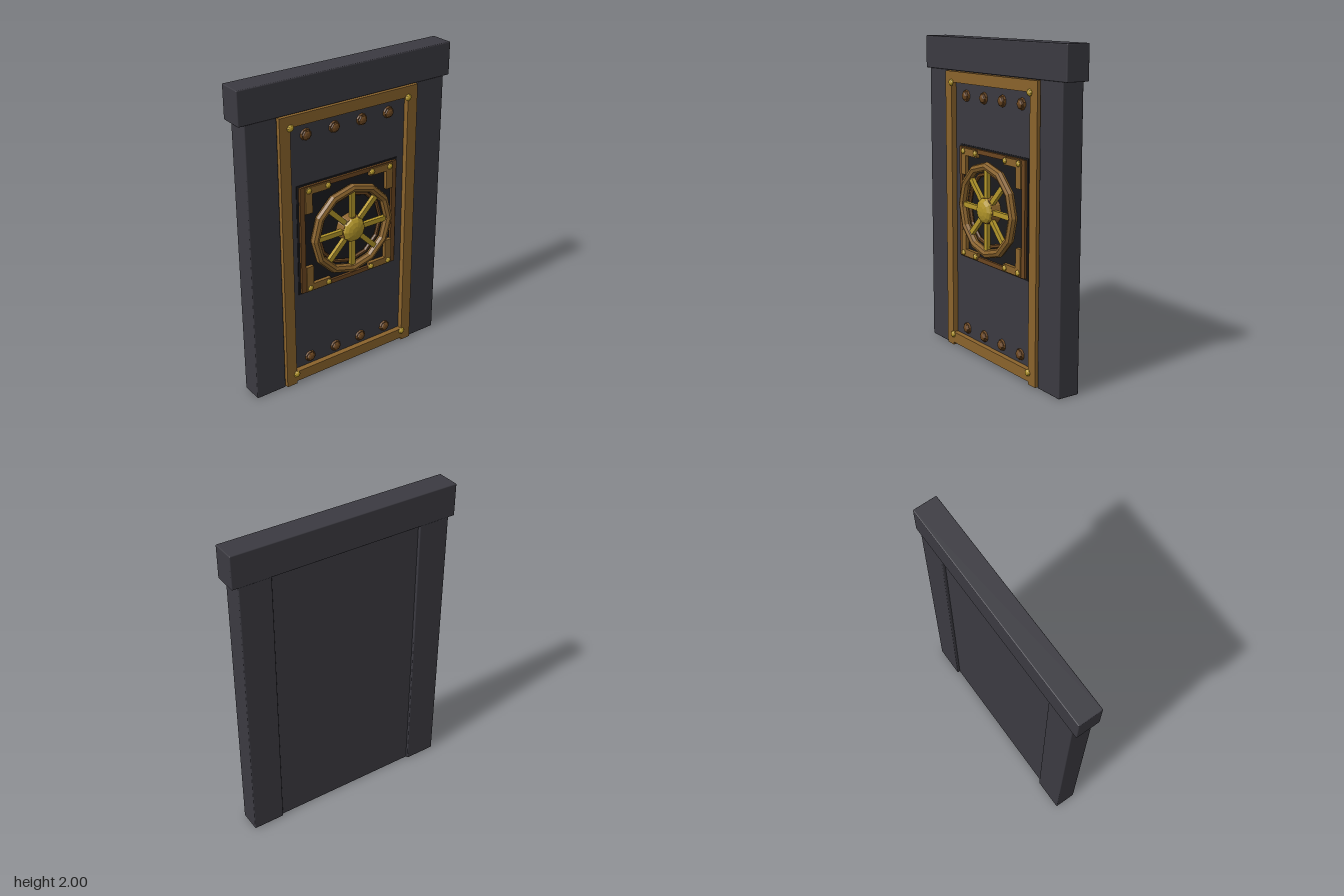
import * as THREE from 'three';
import { RoundedBoxGeometry } from 'three/addons/geometries/RoundedBoxGeometry.js';

const material = (color, flatShading = true) => new THREE.MeshStandardMaterial({ color, flatShading });
const iron = material(0x3b3a41, false);
const black = material(0x1b1b1e);
const bronze = material(0x8a632c);
const darkBronze = material(0x6b4620);
const brass = material(0xb3962a);

function add(parent, name, geometry, mat, x = 0, y = 0, z = 0) {
  const mesh = new THREE.Mesh(geometry, mat);
  mesh.name = name;
  mesh.position.set(x, y, z);
  parent.add(mesh);
  return mesh;
}

// Box given by its limits on each axis
function block(parent, name, mat, [x0, x1], [y0, y1], [z0, z1], bevel = 0) {
  const size = [x1 - x0, y1 - y0, z1 - z0];
  const geometry = bevel ? new RoundedBoxGeometry(...size, 2, bevel) : new THREE.BoxGeometry(...size);
  return add(parent, name, geometry, mat, (x0 + x1) / 2, (y0 + y1) / 2, (z0 + z1) / 2);
}

// Flattened hemisphere bulging towards +z
function dome(radius, height, sides, rings) {
  return new THREE.SphereGeometry(radius, sides, rings, 0, Math.PI * 2, 0, Math.PI / 2)
    .rotateX(Math.PI / 2).scale(1, 1, height / radius);
}

function buildWheel() {
  const wheel = new THREE.Group();
  wheel.name = 'wheel';
  add(wheel, 'wheelRim', new THREE.TorusGeometry(0.27, 0.028, 8, 12), bronze, 0, 0, 0.06);
  add(wheel, 'innerRing', new THREE.TorusGeometry(0.228, 0.013, 6, 12), darkBronze, 0, 0, 0.038);
  for (let i = 0; i < 8; i++) {
    const spoke = new THREE.BoxGeometry(0.2, 0.032, 0.024).translate(0.147, 0, 0.06);
    add(wheel, 'spoke', spoke, brass).rotation.z = i * Math.PI / 4;
  }
  add(wheel, 'hubCollar', new THREE.CylinderGeometry(0.08, 0.09, 0.06, 12).rotateX(Math.PI / 2), bronze, 0, 0, 0.048);
  add(wheel, 'hubCap', dome(0.08, 0.034, 10, 4), brass, 0, 0, 0.076);
  return wheel;
}

export function createModel() {
  const model = new THREE.Group();
  model.name = 'vaultDoor';

  // Stone surround and recessed door leaf
  block(model, 'lintel', iron, [-0.735, 0.735], [1.795, 2], [-0.11, 0.042], 0.006);
  for (const s of [-1, 1]) {
    block(model, 'pillar', iron, [s * 0.593 - 0.102, s * 0.593 + 0.102], [0, 1.797], [-0.105, 0.036], 0.006);
  }
  block(model, 'doorPanel', iron, [-0.493, 0.493], [0, 1.797], [-0.087, 0.015]);

  // Bronze trim around the door
  for (const s of [-1, 1]) {
    block(model, 'trimSide', bronze, [s * 0.45 - 0.035, s * 0.45 + 0.035], [0.003, 1.79], [0.01, 0.05]);
    for (const y of [0.075, 1.72]) add(model, 'trimBolt', dome(0.022, 0.018, 8, 4), brass, s * 0.415, y, 0.049);
  }
  block(model, 'trimTop', bronze, [-0.415, 0.415], [1.722, 1.79], [0.01, 0.05]);
  block(model, 'trimBottom', bronze, [-0.415, 0.415], [0.02, 0.09], [0.01, 0.05]);

  // Rows of large rivets
  for (const y of [0.145, 1.645]) {
    for (let i = 0; i < 4; i++) {
      const x = (i - 1.5) * 0.195;
      add(model, 'rivetBase', new THREE.CylinderGeometry(0.034, 0.038, 0.014, 10).rotateX(Math.PI / 2), darkBronze, x, y, 0.02);
      add(model, 'rivetHead', dome(0.031, 0.016, 6, 3), darkBronze, x, y, 0.027);
    }
  }

  // Lock plate with its frame, corner brackets and bolts
  const lock = new THREE.Group();
  lock.name = 'lock';
  lock.position.y = 0.978;
  model.add(lock);
  block(lock, 'lockPlate', black, [-0.365, 0.365], [-0.362, 0.362], [0.005, 0.019]);
  const bracket = new THREE.Shape([
    [0.318, 0.345], [0.145, 0.345], [0.145, 0.3], [0.27, 0.3], [0.27, 0.178], [0.318, 0.178],
  ].map(([x, y]) => new THREE.Vector2(x, y)));
  const bracketGeometry = new THREE.ExtrudeGeometry(bracket, { depth: 0.03, bevelEnabled: false });
  for (const s of [-1, 1]) {
    block(lock, 'frameSide', darkBronze, [s * 0.335 - 0.016, s * 0.335 + 0.016], [-0.35, 0.35], [0.012, 0.034]);
    block(lock, 'frameBar', darkBronze, [-0.32, 0.32], [s * 0.338 - 0.014, s * 0.338 + 0.014], [0.012, 0.034]);
    for (const t of [-1, 1]) {
      // Half turns mirror the bracket without flipping its faces
      const piece = add(lock, 'cornerBracket', bracketGeometry, bronze, 0, 0, s * t > 0 ? 0.012 : 0.042);
      piece.rotation.set(t < 0 ? Math.PI : 0, s < 0 ? Math.PI : 0, 0);
      for (const x of [0.16, 0.295]) add(lock, 'bracketBolt', dome(0.019, 0.014, 8, 3), brass, s * x, t * 0.325, 0.041);
    }
  }
  lock.add(buildWheel());
  return model;
}
